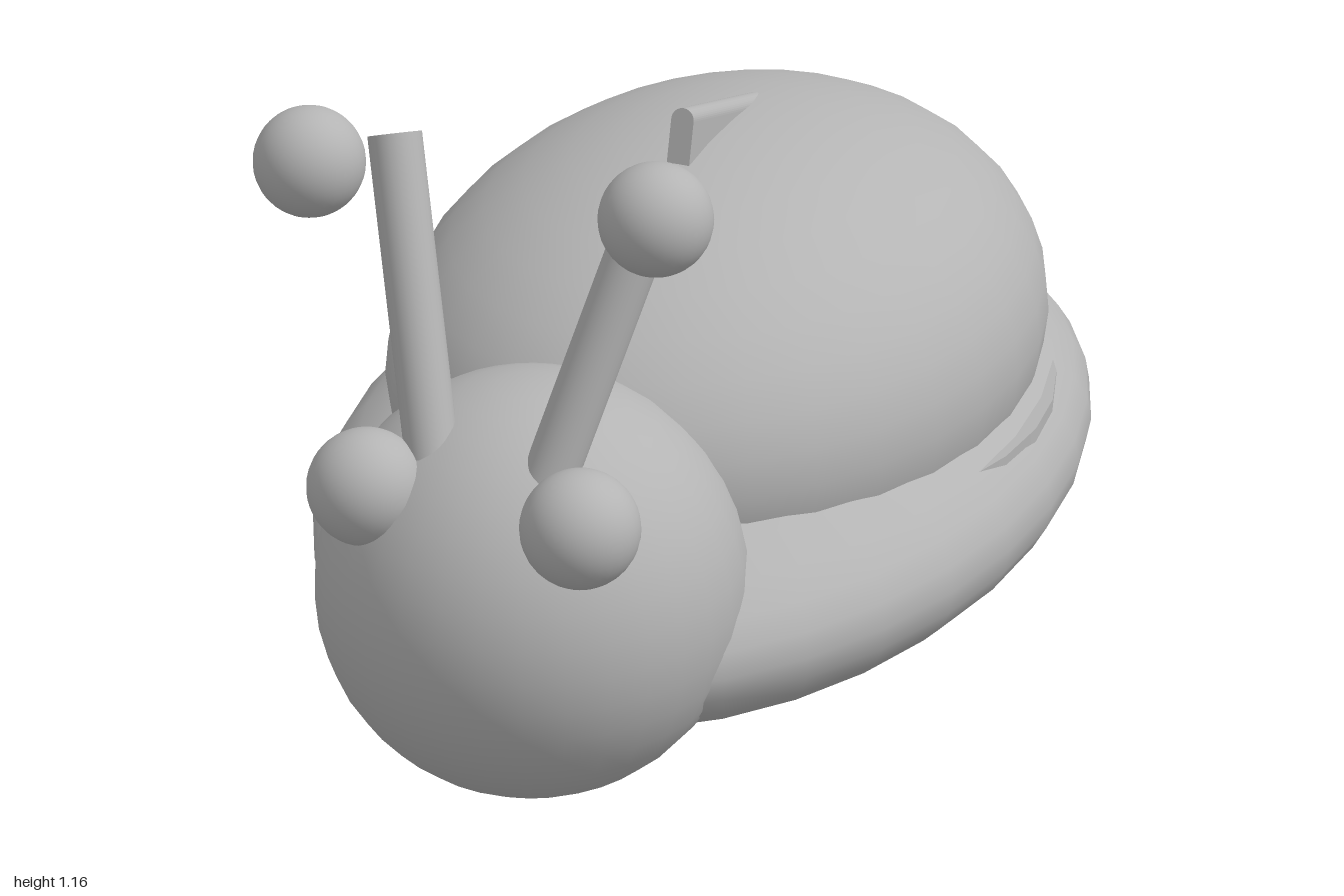
import * as THREE from 'three';

export function createModel() {
  const model = new THREE.Group();
  const grey = new THREE.MeshStandardMaterial({ color: 0xb4b4b4 });
  grey.name = 'grey';

  const add = (name, geometry, position) => {
    const mesh = new THREE.Mesh(geometry, grey);
    mesh.name = name;
    mesh.position.set(...position);
    model.add(mesh);
    return mesh;
  };
  const ball = (name, position, [rx, ry, rz]) =>
    add(name, new THREE.SphereGeometry(1, 32, 20).scale(rx, ry, rz), position);

  // Body, shell and head
  ball('body', [0, 0.27, -0.08], [0.615, 0.265, 0.92]);
  ball('shell', [0, 0.48, -0.12], [0.535, 0.385, 0.725]);
  ball('head', [0, 0.36, 0.655], [0.343, 0.343, 0.343]);

  // Flat rim under the shell, its sides just emerging from the body
  add('shellRim', new THREE.CylinderGeometry(1, 1, 0.08, 32).scale(0.57, 1, 0.61), [0, 0.35, -0.12]);

  // Ridge on top: a round-topped bar tilted down towards the back
  const section = new THREE.Shape();
  section.moveTo(-0.02, -0.1);
  section.lineTo(0.02, -0.1);
  section.lineTo(0.02, -0.02);
  section.absarc(0, -0.02, 0.02, 0, Math.PI, false);
  section.closePath();
  const ridgeGeometry = new THREE.ExtrudeGeometry(section, { depth: 0.4, bevelEnabled: false, curveSegments: 10 });
  ridgeGeometry.translate(0, 0, -0.4);
  const ridge = add('shellRidge', ridgeGeometry, [0, 0.94, 0.05]);
  ridge.rotation.x = -0.26;

  // Eyes and feelers on both sides
  for (const [side, s] of [['left', 1], ['right', -1]]) {
    ball(side + 'Eye', [s * 0.18, 0.583, 0.86], [0.092, 0.092, 0.092]);
    ball(side + 'FeelerBall', [s * 0.284, 1.085, 0.81], [0.085, 0.085, 0.085]);

    const base = new THREE.Vector3(s * 0.082, 0.56, 0.815);
    const tip = new THREE.Vector3(s * 0.223, 1.08, 0.648);
    const axis = tip.clone().sub(base);
    const middle = base.clone().add(tip).multiplyScalar(0.5);
    const stalk = add(side + 'FeelerStalk', new THREE.CylinderGeometry(0.042, 0.042, axis.length(), 24), middle.toArray());
    stalk.quaternion.setFromUnitVectors(new THREE.Vector3(0, 1, 0), axis.normalize());
  }

  return model;
}
